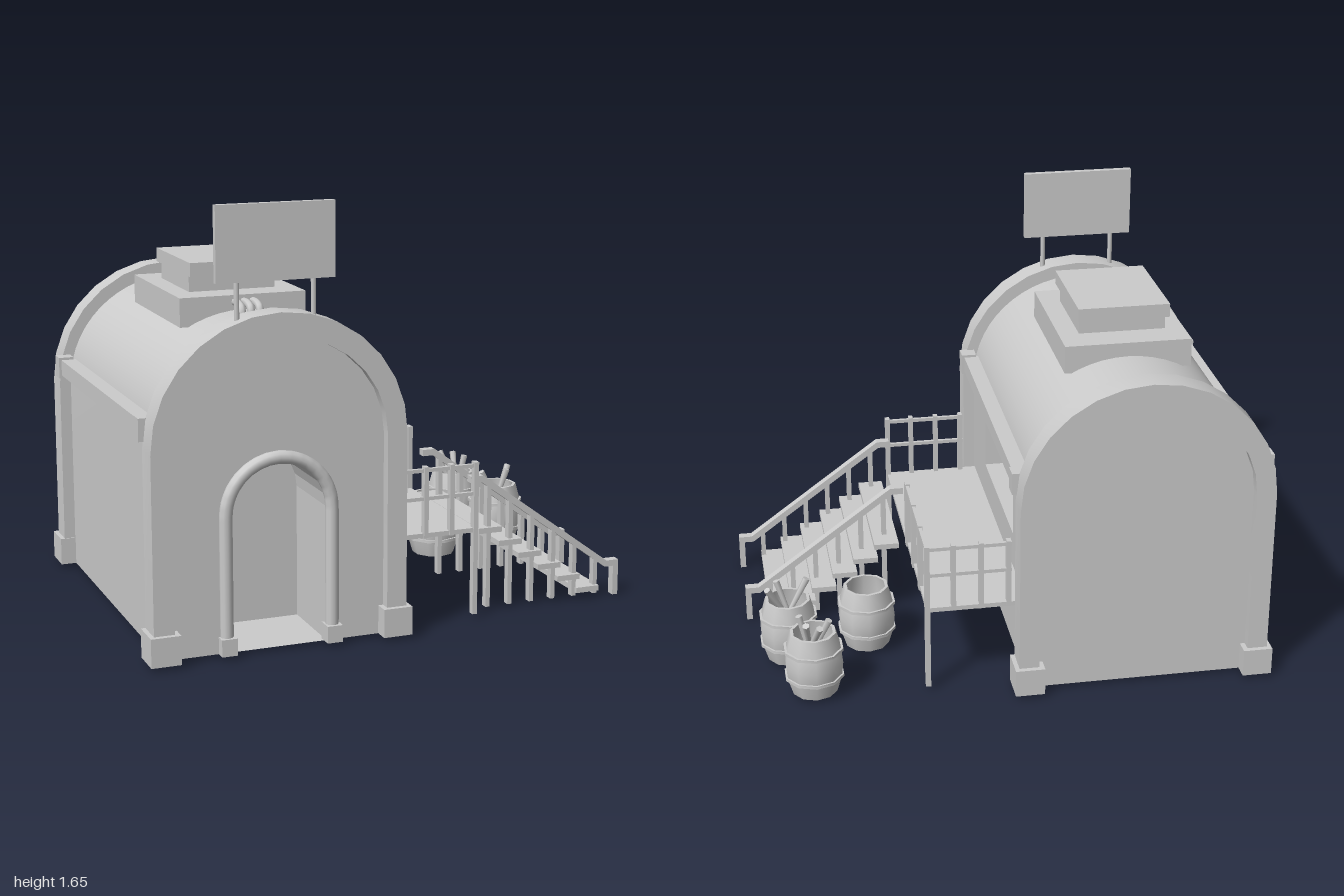
import * as THREE from 'three';
import { toCreasedNormals } from 'three/addons/utils/BufferGeometryUtils.js';

const grey = new THREE.MeshStandardMaterial({ color: 0xcccccc });
const thin = new THREE.MeshStandardMaterial({ color: 0xcccccc, side: THREE.DoubleSide });
const CX = -0.49;      // centre line of the hut
const BASE = 0.015;    // bottom of the hut

function add(parent, name, geometry, material = grey) {
  const mesh = new THREE.Mesh(geometry, material);
  mesh.name = name;
  parent.add(mesh);
  return mesh;
}

// Box given by its minimum and maximum on each axis
function box(parent, name, x0, x1, y0, y1, z0, z1) {
  const mesh = add(parent, name, new THREE.BoxGeometry(x1 - x0, y1 - y0, z1 - z0));
  mesh.position.set((x0 + x1) / 2, (y0 + y1) / 2, (z0 + z1) / 2);
  return mesh;
}

// Arch outline: up the right side, over the top and down the left
function archPoints(half, spring, top, segments) {
  const pts = [new THREE.Vector2(CX + half, BASE)];
  for (let i = 0; i <= segments; i++) {
    const a = Math.PI * i / segments;
    pts.push(new THREE.Vector2(CX + half * Math.cos(a), spring + (top - spring) * Math.sin(a)));
  }
  pts.push(new THREE.Vector2(CX - half, BASE));
  return pts;
}

// Open ribbon sweeping a 2D line from z0 to z1
function ribbon(pts, z0, z1, smooth) {
  const pos = [], index = [];
  pts.forEach((p, i) => {
    pos.push(p.x, p.y, z0, p.x, p.y, z1);
    const a = i * 2;
    if (i < pts.length - 1) index.push(a, a + 2, a + 1, a + 1, a + 2, a + 3);
  });
  let geo = new THREE.BufferGeometry();
  geo.setAttribute('position', new THREE.Float32BufferAttribute(pos, 3));
  geo.setIndex(index);
  if (!smooth) geo = geo.toNonIndexed();
  geo.computeVertexNormals();
  // outward side follows the order right, top, left
  if (smooth) {
    const n = geo.attributes.normal;
    if (n.getX(0) < 0) {
      geo.setIndex(index.reverse());
      geo.computeVertexNormals();
    }
  }
  return geo;
}

const rectPoints = (x0, x1, y0, y1) =>
  [[x0, y0], [x1, y0], [x1, y1], [x0, y1]].map(([x, y]) => new THREE.Vector2(x, y));

function buildHut(root) {
  const hut = new THREE.Group();
  hut.name = 'hut';
  root.add(hut);
  const half = 0.445, spring = 0.79, wallX = CX + half;

  // Vaulted shell, without the straight right wall
  add(hut, 'vaultedRoof', ribbon(archPoints(half, spring, 1.215, 28).slice(1), -0.66, 0.66, true), thin);

  // Right wall with its window recess, drawn facing front then turned to face +x
  const wall = new THREE.Group();
  wall.name = 'rightWall';
  wall.position.x = wallX;
  wall.rotation.y = Math.PI / 2;
  hut.add(wall);
  const windowRect = rectPoints(-0.32, 0.32, 0.5, 0.77);
  const wallShape = new THREE.Shape(rectPoints(-0.66, 0.66, BASE, spring));
  wallShape.holes.push(new THREE.Path(windowRect));
  add(wall, 'wallPanel', new THREE.ShapeGeometry(wallShape), thin);
  add(wall, 'windowReveal', ribbon([...windowRect, windowRect[0]], -0.2, 0, false), thin);
  add(wall, 'windowBack', new THREE.ShapeGeometry(new THREE.Shape(windowRect)), thin).position.z = -0.2;

  // End walls; the front one has the doorway
  const inner = archPoints(0.42, spring, 1.185, 16);
  const door = archPoints(0.185, 0.53, 0.715, 12);
  const front = new THREE.Shape(inner);
  front.holes.push(new THREE.Path(door));
  add(hut, 'frontWall', new THREE.ShapeGeometry(front), thin).position.z = 0.675;
  add(hut, 'backWall', new THREE.ShapeGeometry(new THREE.Shape(inner)), thin).position.z = -0.675;
  add(hut, 'doorReveal', ribbon([...door, door[0]], 0.36, 0.675, false), thin);
  add(hut, 'doorBack', new THREE.ShapeGeometry(new THREE.Shape(door)), thin).position.z = 0.36;

  // Rounded door surround on two small feet
  const path = new THREE.CurvePath();
  const doorLine = archPoints(0.205, 0.53, 0.735, 16).map(p => new THREE.Vector3(p.x, p.y, 0.68));
  for (let i = 1; i < doorLine.length; i++) path.add(new THREE.LineCurve3(doorLine[i - 1], doorLine[i]));
  add(hut, 'doorSurround', new THREE.TubeGeometry(path, 80, 0.025, 10));
  for (const s of [-1, 1]) {
    const x = CX + s * 0.205;
    box(hut, 'doorFoot', x - 0.03, x + 0.03, BASE, 0.08, 0.65, 0.715);
  }

  // Heavy arches at both ends
  const archShape = new THREE.Shape([
    ...archPoints(0.49, 0.79, 1.27, 14), ...archPoints(0.412, 0.79, 1.18, 14).reverse()]);
  const archGeo = toCreasedNormals(new THREE.ExtrudeGeometry(archShape, { depth: 0.105, bevelEnabled: false }), 0.5);
  for (const z of [0.61, -0.715]) add(hut, 'endArch', archGeo).position.z = z;

  // Arch feet, eave beams and their end blocks
  for (const s of [-1, 1]) {
    for (const e of [-1, 1]) {
      const x = CX + s * 0.45, z = e * 0.67;
      box(hut, 'archFoot', x - 0.057, x + 0.057, BASE, 0.125, z - 0.065, z + 0.065);
      const bx = CX + s * 0.475, bz = e * 0.585;
      box(hut, 'beamEnd', bx - 0.03, bx + 0.03, 0.82, 0.905, bz - 0.032, bz + 0.032);
    }
    const x = CX + s * 0.465;
    box(hut, 'eaveBeam', x - 0.03, x + 0.03, 0.832, 0.895, -0.56, 0.56);
  }

  // Roof vent and its three bent pipes
  box(hut, 'ventBase', -0.74, -0.245, 1.16, 1.27, -0.305, 0.305);
  box(hut, 'ventNeck', -0.665, -0.325, 1.27, 1.335, -0.18, 0.18);
  box(hut, 'ventCap', -0.672, -0.313, 1.332, 1.385, -0.22, 0.22);
  for (const x of [-0.525, -0.49, -0.455]) {
    const curve = new THREE.CatmullRomCurve3([[0.28, 1.243], [0.35, 1.243], [0.382, 1.23], [0.39, 1.19]]
      .map(([z, y]) => new THREE.Vector3(x, y, z)));
    add(hut, 'ventPipe', new THREE.TubeGeometry(curve, 16, 0.015, 8));
  }

  // Sign board on two posts
  box(hut, 'signBoard', -0.72, -0.27, 1.378, 1.655, 0.653, 0.678);
  for (const s of [-1, 1]) {
    const post = add(hut, 'signPost', new THREE.CylinderGeometry(0.01, 0.01, 0.19, 8));
    post.position.set(CX - 0.005 + s * 0.145, 1.3, 0.665);
  }
}

function buildDeck(root) {
  const deck = new THREE.Group();
  deck.name = 'deck';
  root.add(deck);
  box(deck, 'deckFloor', -0.05, 0.34, 0.342, 0.36, -0.605, 0.6);
  const t = 0.009;
  // Railings at both ends, outer corner posts reaching the ground
  for (const z of [-0.592, 0.592]) {
    [0.022, 0.128, 0.235].forEach(x => box(deck, 'endRailPost', x - t, x + t, 0.342, 0.62, z - t * 1.6, z + t * 1.6));
    box(deck, 'cornerPost', 0.326, 0.345, BASE, 0.62, z - t * 1.6, z + t * 1.6);
    for (const y of [0.605, 0.495, 0.353]) box(deck, 'endRail', 0.01, 0.34, y - 0.007, y + 0.007, z - 0.007, z + 0.007);
  }
  // Side railing beside the stairs
  for (const z of [-0.042, -0.225, -0.41]) box(deck, 'sideRailPost', 0.326, 0.345, 0.342, 0.62, z - 0.018, z + 0.018);
  box(deck, 'sideRail', 0.329, 0.343, 0.6, 0.614, -0.6, -0.025);
}

function buildStairs(root) {
  const stairs = new THREE.Group();
  stairs.name = 'stairs';
  root.add(stairs);
  for (let i = 0; i < 6; i++) {
    const x = 0.42 + i * 0.0865, y = 0.33 - i * 0.058;
    box(stairs, 'tread', x - 0.05, x + 0.05, y - 0.011, y + 0.011, -0.025, 0.56);
  }
  // Sloping handrail with flat top and bottom ends
  const rail = new THREE.Shape([[0.34, 0.522], [0.385, 0.522], [0.935, 0.12], [0.995, 0.12], [0.995, 0.145],
    [0.942, 0.145], [0.392, 0.548], [0.34, 0.548]].map(([x, y]) => new THREE.Vector2(x, y)));
  const railGeo = new THREE.ExtrudeGeometry(rail, { depth: 0.035, bevelEnabled: false });
  for (const z of [0.075, 0.53]) {
    add(stairs, 'handrail', railGeo).position.z = z - 0.0175;
    for (let i = 0; i < 6; i++) {
      const x = 0.42 + i * 0.0945;
      box(stairs, 'baluster', x - 0.009, x + 0.009, BASE, 0.515 - (x - 0.41) * 0.731, z - 0.015, z + 0.015);
    }
    box(stairs, 'newelPost', 0.972, 0.995, 0, 0.13, z - 0.0175, z + 0.0175);
  }
}

function buildBarrel(root, x, z, sticks) {
  const barrel = new THREE.Group();
  barrel.name = 'barrel';
  barrel.position.set(x, 0, z);
  root.add(barrel);
  const profile = [[0, 0.015], [0.088, 0.015], [0.108, 0.08], [0.115, 0.143], [0.108, 0.205], [0.09, 0.27],
    [0.078, 0.27], [0.09, 0.2], [0.09, 0.1], [0, 0.1]].map(([r, y]) => new THREE.Vector2(r, y));
  add(barrel, 'staves', toCreasedNormals(new THREE.LatheGeometry(profile, 10), 0.7));
  // Metal hoops
  for (const y of [0.087, 0.2]) {
    const hoop = [[0.105, -0.006], [0.117, -0.006], [0.117, 0.006], [0.105, 0.006]].map(([r, h]) => new THREE.Vector2(r, y + h));
    add(barrel, 'hoop', toCreasedNormals(new THREE.LatheGeometry(hoop, 10), 0.7));
  }
  // Leaning flared sticks: base x, z and top x, z
  for (const [bx, bz, tx, tz] of sticks) {
    const from = new THREE.Vector3(bx, 0.11, bz), to = new THREE.Vector3(tx, 0.335, tz);
    const dir = to.clone().sub(from);
    const stick = add(barrel, 'stick', new THREE.CylinderGeometry(0.014, 0.006, dir.length(), 6));
    stick.position.copy(from).addScaledVector(dir, 0.5);
    stick.quaternion.setFromUnitVectors(new THREE.Vector3(0, 1, 0), dir.normalize());
  }
}

export function createModel() {
  const root = new THREE.Group();
  root.name = 'hutWithDeck';
  buildHut(root);
  buildDeck(root);
  buildStairs(root);
  buildBarrel(root, 0.53, -0.22, []);
  buildBarrel(root, 0.845, -0.275, [[-0.04, 0.03, 0.08, -0.04], [-0.03, 0.01, 0.04, 0.03], [0.04, 0.02, -0.08, 0.03]]);
  buildBarrel(root, 0.77, -0.545, [[0.04, 0.04, -0.02, -0.1], [0, 0.05, 0.03, -0.07], [0.04, 0, -0.06, -0.04], [0, 0, 0.05, 0.01]]);
  return root;
}
